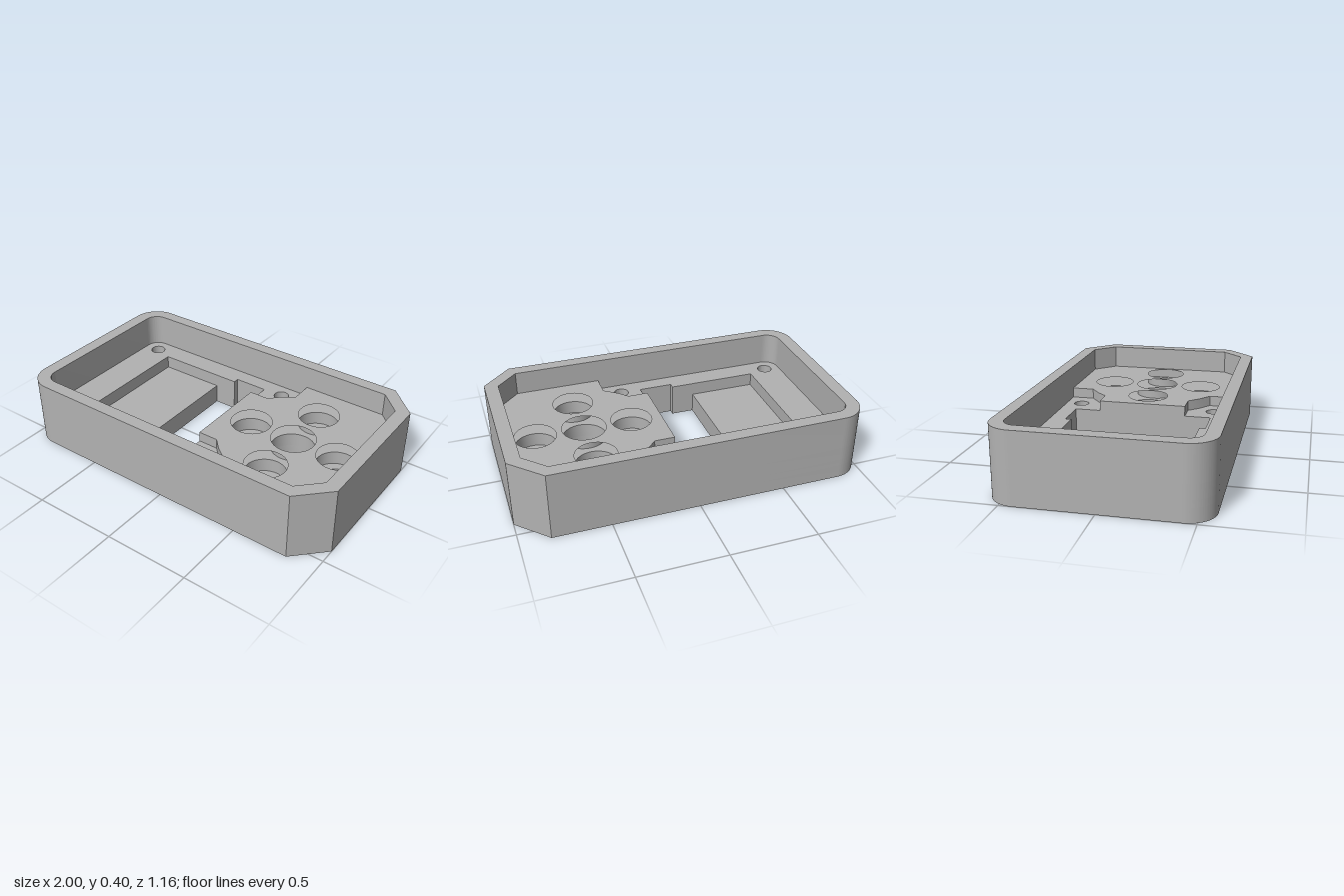
import * as THREE from 'three';
import { toCreasedNormals } from 'three/addons/utils/BufferGeometryUtils.js';

// Heights of the steps, from the underside up
const COUNTERBORE = 0.08, POCKET = 0.12, FLOOR = 0.2, PLATEAU = 0.26, TOP = 0.4;

// Body outline: rounded corners at -x, chamfered corners at +x
function outline(PathType, x, z, radius, chamfer) {
  const p = new PathType();
  p.moveTo(-x + radius, -z);
  p.lineTo(x - chamfer, -z);
  p.lineTo(x, -z + chamfer);
  p.lineTo(x, z - chamfer);
  p.lineTo(x - chamfer, z);
  p.lineTo(-x + radius, z);
  p.absarc(-x + radius, z - radius, radius, Math.PI / 2, Math.PI, false);
  p.absarc(-x + radius, -z + radius, radius, Math.PI, Math.PI * 1.5, false);
  return p;
}

// Closed path from one half, mirrored across the long axis
function mirrored(PathType, half) {
  const other = half.map(([x, z]) => [x, -z]).reverse();
  return new PathType([...half, ...other].map(([x, z]) => new THREE.Vector2(x, z)));
}

function circle(x, z, r) {
  const p = new THREE.Path();
  p.absarc(x, z, r, 0, Math.PI * 2, true);
  return p;
}

export function createModel() {
  const group = new THREE.Group();
  const grey = new THREE.MeshStandardMaterial({ color: 0xb2b2b2 });
  grey.name = 'grey';

  function layer(name, shape, holes, y0, y1) {
    shape.holes.push(...holes);
    const geo = new THREE.ExtrudeGeometry(shape, { depth: y1 - y0, bevelEnabled: false, curveSegments: 20 });
    geo.rotateX(-Math.PI / 2);
    geo.translate(0, y0, 0);
    const mesh = new THREE.Mesh(toCreasedNormals(geo, Math.PI / 6), grey);
    mesh.name = name;
    group.add(mesh);
  }

  const outer = () => outline(THREE.Shape, 1, 0.582, 0.155, 0.17);
  const inner = () => outline(THREE.Path, 0.92, 0.507, 0.08, 0.12);

  // Hole patterns
  const screwHoles = (r) => [-0.825, 0.165].flatMap((x) => [-0.415, 0.415].map((z) => circle(x, z, r)));
  const boltHoles = (r) => [[0.22, 0], [0.785, 0], [0.503, 0.285], [0.503, -0.285]].map(([x, z]) => circle(x, z, r));
  const centreHole = () => circle(0.503, 0, 0.128);

  // Stepped opening, reaching further towards -x where the pocket is
  const opening = (xEnd) => mirrored(THREE.Path, [[xEnd, 0.378], [-0.165, 0.378], [-0.165, 0.413], [0.04, 0.413]]);

  // Base with wide screw recesses on the underside
  layer('baseCounterbores', outer(), [...screwHoles(0.08), ...boltHoles(0.07), centreHole(), opening(-0.303)], 0, COUNTERBORE);
  layer('basePlate', outer(), [...screwHoles(0.045), ...boltHoles(0.07), centreHole(), opening(-0.303)], COUNTERBORE, POCKET);

  // Main floor with the sunken pocket and wide bolt recesses
  layer('pocketFloor', outer(), [...screwHoles(0.045), ...boltHoles(0.12), centreHole(), opening(-0.71)], POCKET, FLOOR);

  // Raised mounting plateau
  const plateau = mirrored(THREE.Shape, [
    [0.04, 0.26], [0.16, 0.26], [0.215, 0.318], [0.29, 0.375], [0.29, 0.507], [0.8, 0.507], [0.92, 0.387],
  ]);
  layer('mountingPlateau', plateau, [...boltHoles(0.12), centreHole()], FLOOR, PLATEAU);

  // Surrounding wall
  layer('rimWall', outer(), [inner()], FLOOR, TOP);

  return group;
}
